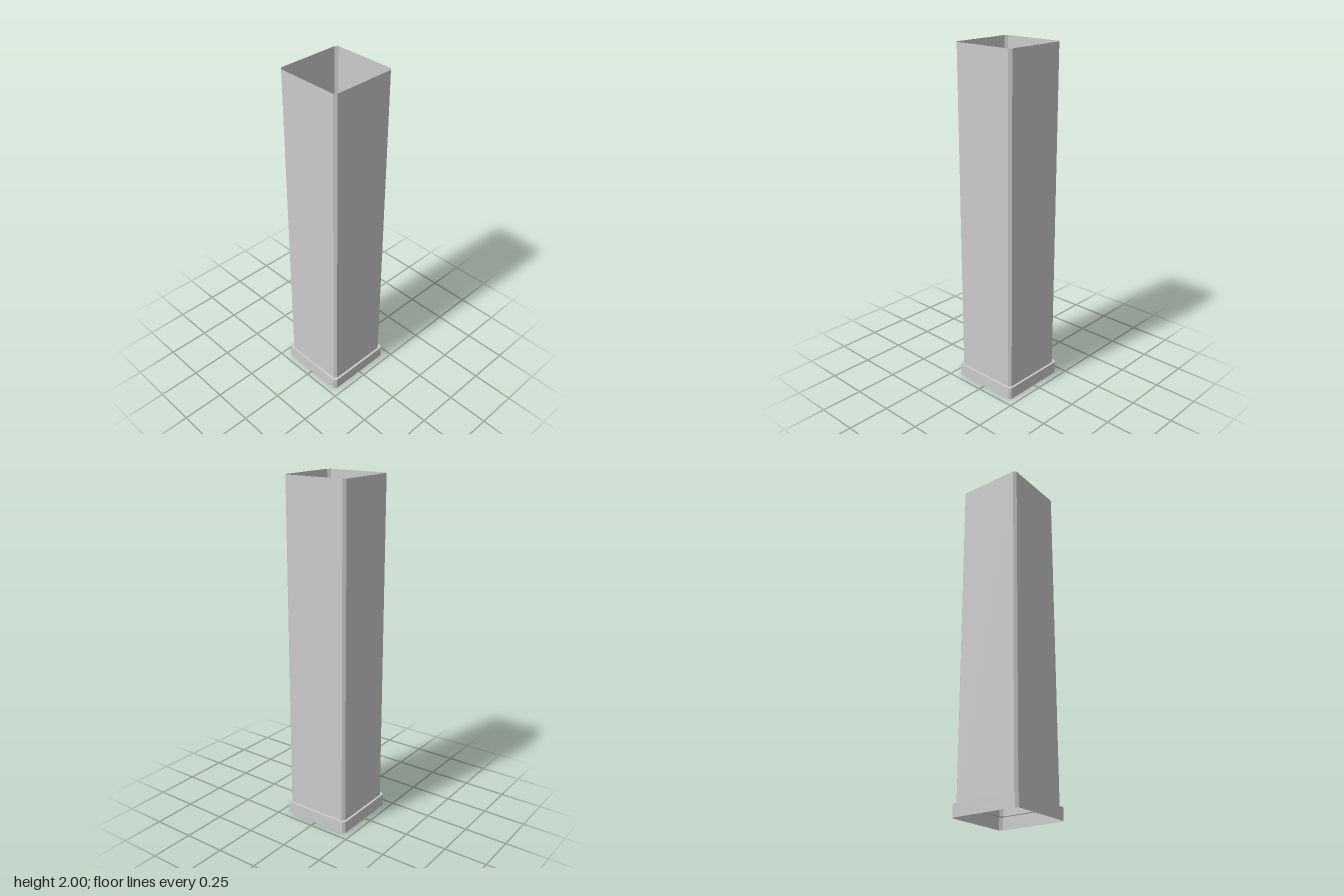
import * as THREE from 'three';

// Corner points of a square with chamfered corners, counter-clockwise seen from above
function chamferedSquare(half, chamfer) {
  const c = half - chamfer;
  return [[c, half], [half, c], [half, -c], [c, -half], [-c, -half], [-half, -c], [-half, c], [-c, half]];
}

// Open surface joining a stack of chamfered squares, each given as { half, chamfer, y }
function loft(sections) {
  const positions = [];
  const rings = sections.map(({ half, chamfer, y }) =>
    chamferedSquare(half, chamfer).map(([x, z]) => [x, y, z]));
  for (let s = 0; s < rings.length - 1; s++) {
    const low = rings[s], high = rings[s + 1];
    for (let i = 0; i < low.length; i++) {
      const j = (i + 1) % low.length;
      positions.push(...low[i], ...low[j], ...high[j], ...low[i], ...high[j], ...high[i]);
    }
  }
  const geometry = new THREE.BufferGeometry();
  geometry.setAttribute('position', new THREE.Float32BufferAttribute(positions, 3));
  geometry.computeVertexNormals();
  return geometry;
}

export function createModel() {
  const group = new THREE.Group();
  group.name = 'squareDuct';
  const material = new THREE.MeshStandardMaterial({
    color: 0xcccccc, flatShading: true, side: THREE.DoubleSide,
  });
  const add = (name, sections) => {
    const mesh = new THREE.Mesh(loft(sections), material);
    mesh.name = name;
    group.add(mesh);
  };

  const collarTop = 0.072;
  const outer = { half: 0.21, chamfer: 0.014 };
  const inner = { half: 0.197, chamfer: 0.015 };

  // Wider collar at the foot, with a narrow ledge in to the shaft
  add('collar', [{ ...outer, y: 0 }, { ...outer, y: collarTop }, { ...inner, y: collarTop }]);

  // Tall thin-walled shaft, open at both ends
  add('shaft', [{ ...inner, y: collarTop }, { ...inner, y: 2 }]);

  return group;
}
